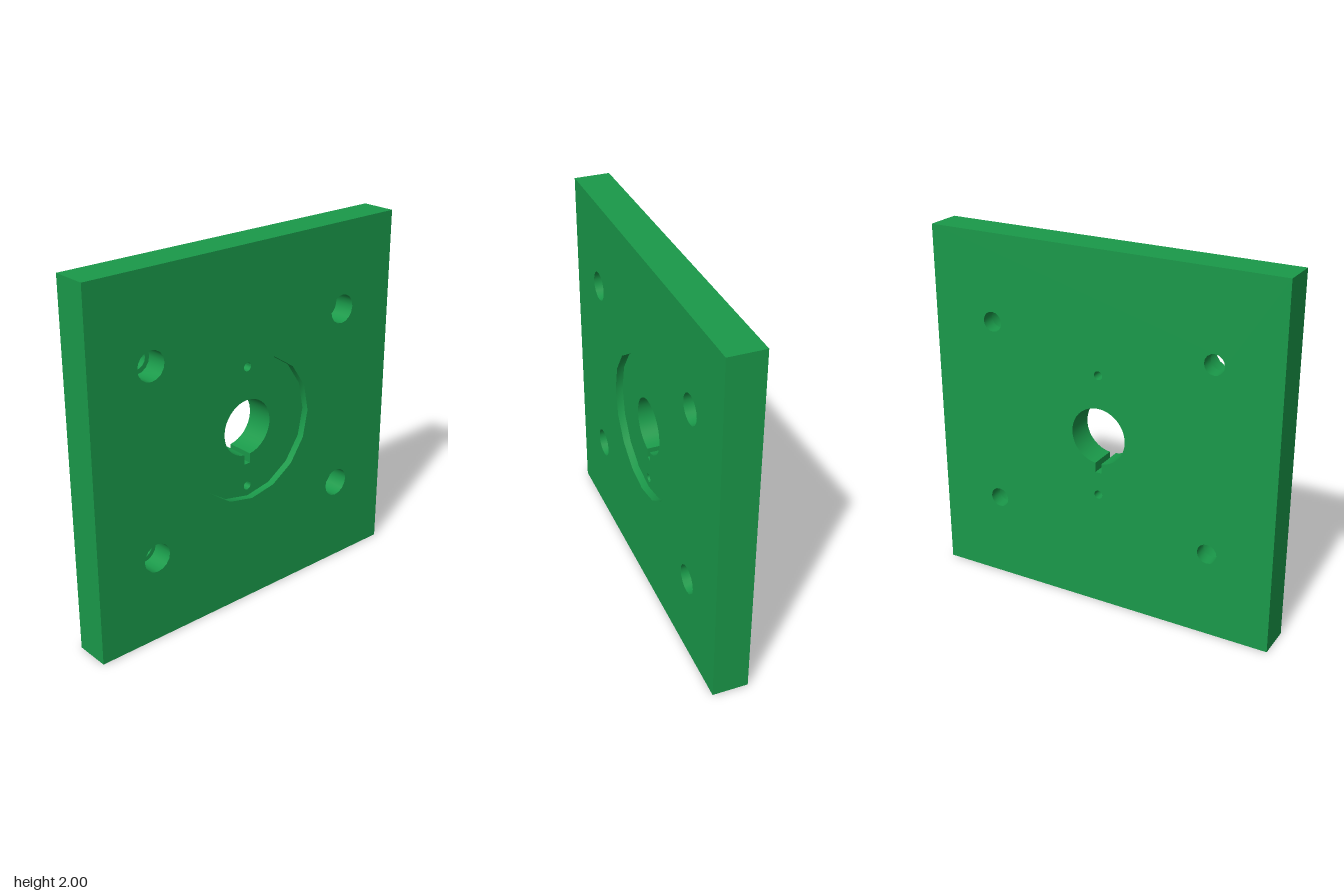
import * as THREE from 'three';
import { toCreasedNormals } from 'three/addons/utils/BufferGeometryUtils.js';

const FRONT = 0.098, BACK = -0.098;
const RECESS = FRONT - 0.04;   // floor of the round recess
const SEAT = FRONT - 0.12;     // floor of the counterbores

export function createModel() {
  const group = new THREE.Group();
  group.name = 'mountingPlate';
  const material = new THREE.MeshStandardMaterial({ color: 0x1a9a4a });

  const add = (name, geometry) => {
    const mesh = new THREE.Mesh(geometry, material);
    mesh.name = name;
    group.add(mesh);
  };

  // Counter-clockwise ring of points
  const circle = (x, y, r, n) => Array.from({ length: n }, (_, i) => {
    const a = (i / n) * Math.PI * 2;
    return new THREE.Vector2(x + r * Math.cos(a), y + r * Math.sin(a));
  });

  // Flat face with holes, facing the front or the back
  const face = (name, outline, holes, z, back = false) => {
    const shape = new THREE.Shape(outline);
    shape.holes = holes.map((h) => new THREE.Path(h));
    const geometry = new THREE.ShapeGeometry(shape);
    if (back) {
      geometry.index.array.reverse();
      const n = geometry.attributes.normal;
      for (let i = 0; i < n.count; i++) n.setZ(i, -1);
    }
    add(name, geometry.translate(0, 0, z));
  };

  // Wall along a closed outline; counter-clockwise outlines face inward
  const wall = (name, points, z0, z1) => {
    const pos = [];
    points.forEach((a, i) => {
      const b = points[(i + 1) % points.length];
      pos.push(a.x, a.y, z0, b.x, b.y, z1, b.x, b.y, z0);
      pos.push(a.x, a.y, z0, a.x, a.y, z1, b.x, b.y, z1);
    });
    const geometry = new THREE.BufferGeometry();
    geometry.setAttribute('position', new THREE.Float32BufferAttribute(pos, 3));
    add(name, toCreasedNormals(geometry, 0.5));
  };

  // Outlines
  const square = [[-1, 0], [1, 0], [1, 2], [-1, 2]].map((p) => new THREE.Vector2(...p));
  const recess = circle(0, 1, 0.4, 16);
  const pins = [0.66, 1.34].map((y) => circle(0, y, 0.024, 16));
  const corners = [];
  for (const x of [-0.64, 0.64]) for (const y of [0.48, 1.52]) corners.push([x, y]);
  const bores = corners.map(([x, y]) => circle(x, y, 0.08, 16));
  const bolts = corners.map(([x, y]) => circle(x, y, 0.055, 16));

  // Shaft hole with a keyway at the bottom
  const R = 0.157, key = 0.018, gap = Math.asin(key / R);
  const shaft = [];
  for (let i = 0; i <= 36; i++) {
    const a = -Math.PI / 2 + gap + (i / 36) * (Math.PI * 2 - gap * 2);
    shaft.push(new THREE.Vector2(R * Math.cos(a), 1 + R * Math.sin(a)));
  }
  shaft.push(new THREE.Vector2(-key, 0.79), new THREE.Vector2(key, 0.79));

  // Plate
  face('frontFace', square, [recess, ...bores], FRONT);
  face('backFace', square, [shaft, ...pins, ...bolts], BACK, true);
  wall('plateEdge', [...square].reverse(), BACK, FRONT);

  // Central recess and its through holes
  face('recessFloor', recess, [shaft, ...pins], RECESS);
  wall('recessWall', recess, RECESS, FRONT);
  wall('shaftHoleWall', shaft, BACK, RECESS);
  pins.forEach((p) => wall('pinHoleWall', p, BACK, RECESS));

  // Counterbored corner holes
  corners.forEach((_, i) => {
    wall('counterboreWall', bores[i], SEAT, FRONT);
    face('counterboreSeat', bores[i], [bolts[i]], SEAT);
    wall('boltHoleWall', bolts[i], BACK, SEAT);
  });

  return group;
}
